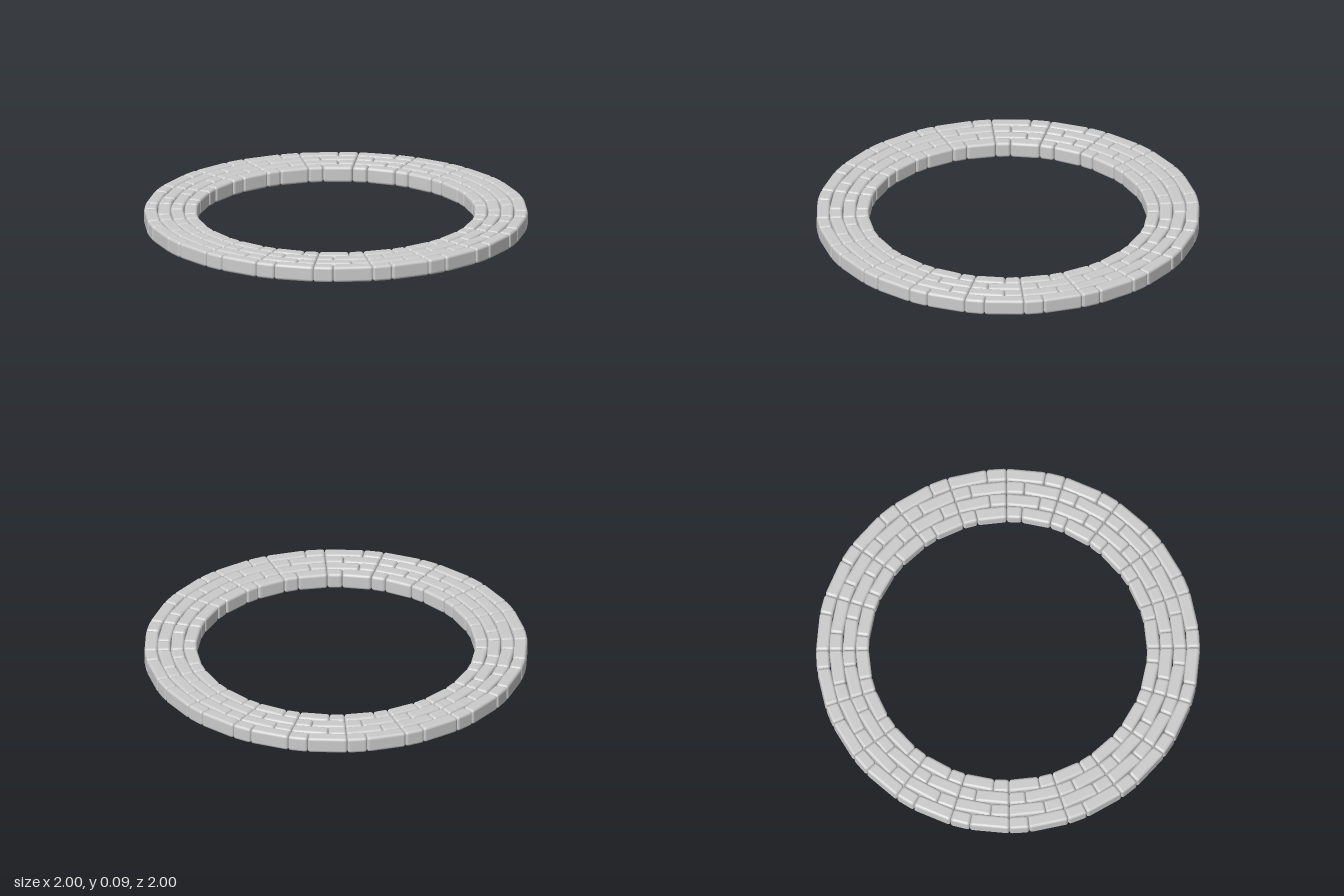
import * as THREE from 'three';
import { RoundedBoxGeometry } from 'three/addons/geometries/RoundedBoxGeometry.js';

const ROWS = 4, SECTORS = 20;
const OUTER = 1.001, ROW_WIDTH = 0.069, HEIGHT = 0.085, BEVEL = 0.015;
const SHORT = THREE.MathUtils.degToRad(6), LONG = THREE.MathUtils.degToRad(12);

// Rounded, straight-sided brick tapered to fit its slice of the ring
function brickGeometry(outer, angle) {
  const mid = outer - ROW_WIDTH / 2;
  const length = 2 * mid * Math.sin(angle / 2);
  const geometry = new RoundedBoxGeometry(length, HEIGHT, ROW_WIDTH, 2, BEVEL);
  const p = geometry.attributes.position;
  for (let i = 0; i < p.count; i++) {
    const radius = mid + p.getZ(i);
    p.setX(i, p.getX(i) * radius / mid);
    p.setZ(i, radius * Math.cos(angle / 2) );
  }
  geometry.translate(0, HEIGHT / 2, 0);
  return geometry;
}

export function createModel() {
  const model = new THREE.Group();
  model.name = 'stoneRing';
  const material = new THREE.MeshStandardMaterial({ color: 0xcccccc });

  for (let row = 0; row < ROWS; row++) {
    const course = new THREE.Group();
    course.name = `brickCourse${row + 1}`;
    model.add(course);

    // Courses alternate short-long and long-short, so the joints are staggered
    const pattern = row % 2 === 0 ? [SHORT, LONG] : [LONG, SHORT];
    const shapes = pattern.map((angle) => brickGeometry(OUTER - row * ROW_WIDTH, angle));

    let start = 0;
    for (let sector = 0; sector < SECTORS; sector++) {
      pattern.forEach((angle, k) => {
        const brick = new THREE.Mesh(shapes[k], material);
        brick.name = angle === LONG ? 'longBrick' : 'shortBrick';
        brick.rotation.y = start + angle / 2;
        course.add(brick);
        start += angle;
      });
    }
  }
  return model;
}
